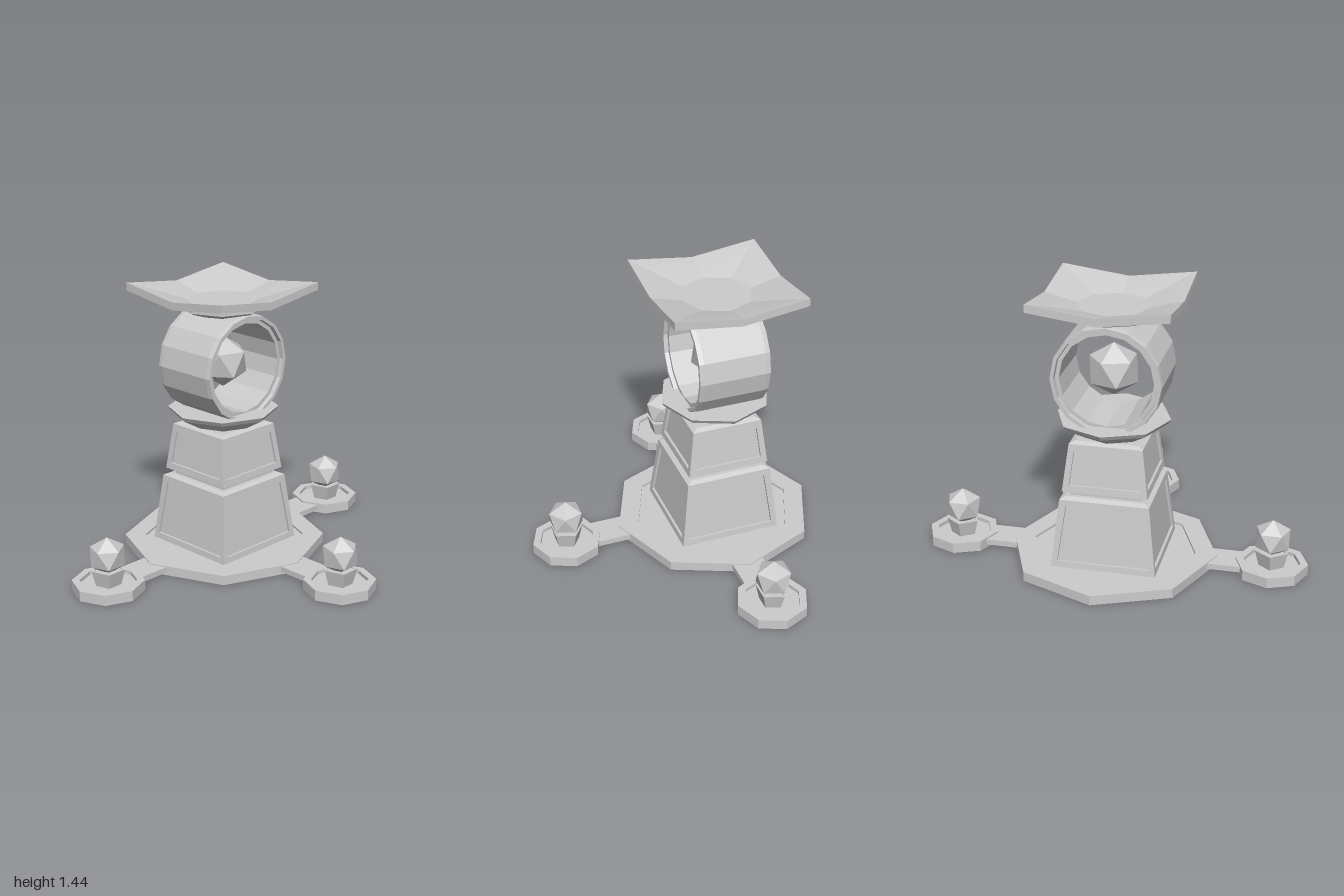
import * as THREE from 'three';

const CZ = -0.24; // depth of the tower axis
const material = new THREE.MeshStandardMaterial({ color: 0xcccccc, flatShading: true });
const V = (x, y, z) => new THREE.Vector3(x, y, z);

// Joins rings of equal point count with faces, optionally closing the first and last ring
function loft(rings, capStart = true, capEnd = true) {
  const pos = [];
  const tri = (...pts) => pts.forEach(p => pos.push(p.x, p.y, p.z));
  const n = rings[0].length;
  for (let i = 0; i < rings.length - 1; i++) {
    for (let j = 0; j < n; j++) {
      const k = (j + 1) % n;
      const a = rings[i][j], b = rings[i][k], c = rings[i + 1][k], d = rings[i + 1][j];
      if (j % 2) { tri(a, b, c); tri(a, c, d); } else { tri(a, b, d); tri(b, c, d); }
    }
  }
  const last = rings[rings.length - 1];
  for (let j = 1; j < n - 1; j++) {
    if (capStart) tri(rings[0][0], rings[0][j + 1], rings[0][j]);
    if (capEnd) tri(last[0], last[j], last[j + 1]);
  }
  const geo = new THREE.BufferGeometry();
  geo.setAttribute('position', new THREE.Float32BufferAttribute(pos, 3));
  geo.computeVertexNormals();
  return geo;
}

// Regular polygon ring with its first point towards +z
function polygon(sides, r, y, turn = 0) {
  return Array.from({ length: sides }, (_, i) => {
    const t = turn + i / sides * Math.PI * 2;
    return V(Math.sin(t) * r, y, Math.cos(t) * r);
  });
}
const turned = (sides, profile, turn, caps = true) =>
  loft(profile.map(([r, y]) => polygon(sides, r, y, turn)), caps, caps);

// Square ring of eight points whose corners may rise above the edge middles
function squareRing(half, yMiddle, yCorner) {
  return polygon(8, 1, 0).map((p, i) => i % 2
    ? V(Math.sign(p.x) * half, yCorner, Math.sign(p.z) * half)
    : V(Math.round(p.x) * half, yMiddle, Math.round(p.z) * half));
}

// Icosahedron standing on a point
function gem(r) {
  return new THREE.IcosahedronGeometry(r, 0).rotateZ(-Math.atan(2 / (1 + Math.sqrt(5))));
}

function add(parent, name, geo, x = 0, y = 0, z = 0) {
  const mesh = new THREE.Mesh(geo, material);
  mesh.name = name;
  mesh.position.set(x, y, z);
  parent.add(mesh);
  return mesh;
}

// Tapered square block with a sunken panel on each side
function panelBlock(parent, name, [y0, h0], [y1, h1], [p0, w0], [p1, w1]) {
  const block = new THREE.Group();
  block.name = name;
  const depthAt = y => h0 + (h1 - h0) * (y - y0) / (y1 - y0);
  const ring = (ya, wa, yb, wb, d) => [
    V(-wa, ya, depthAt(ya) - d), V(wa, ya, depthAt(ya) - d),
    V(wb, yb, depthAt(yb) - d), V(-wb, yb, depthAt(yb) - d)];
  const side = loft([
    ring(y0, h0, y1, h1, 0),
    ring(p0, w0, p1, w1, 0),
    ring(p0, w0, p1, w1, 0.013)], false, true);
  for (let i = 0; i < 4; i++) add(block, 'panelSide', side).rotation.y = i * Math.PI / 2;
  // closing faces with a small chamfer on top
  const q = Math.SQRT2, t = Math.PI / 4;
  add(block, 'blockTop', loft([polygon(4, h1 * q, y1, t), polygon(4, (h1 - 0.025) * q, y1 + 0.012, t)], false, true));
  add(block, 'blockBottom', loft([polygon(4, h0 * q, y0, t), polygon(4, h0 * q, y0, t)], true, false));
  parent.add(block);
}

export function createModel() {
  const model = new THREE.Group();
  model.name = 'shrine';

  const tower = new THREE.Group();
  tower.name = 'tower';
  tower.position.z = CZ;
  model.add(tower);

  // Octagonal base with a shallow sunken floor
  add(tower, 'base', turned(8, [[0.535, 0], [0.535, 0.05], [0.425, 0.05], [0.425, 0.038]]));

  // Stacked pillar blocks with a narrow neck between
  panelBlock(tower, 'lowerBlock', [0.035, 0.268], [0.395, 0.228], [0.07, 0.235], [0.362, 0.195]);
  add(tower, 'neck', new THREE.BoxGeometry(0.365, 0.06, 0.365), 0, 0.42, 0);
  panelBlock(tower, 'upperBlock', [0.435, 0.217], [0.683, 0.186], [0.47, 0.182], [0.643, 0.16]);

  // Flared capital carrying the ring
  add(tower, 'capital', turned(8, [[0.16, 0.69], [0.275, 0.757], [0.29, 0.78]]));

  // Open sixteen-sided ring lying along z, with a stepped rim at both ends
  const half = [[0.235, 0.165], [0.255, 0.165], [0.258, 0.187], [0.276, 0.187], [0.28, 0.162]];
  const profile = [...half.map(([r, y]) => [r, -y]), ...half.slice().reverse(), [0.235, -0.165]];
  add(tower, 'ring', turned(16, profile, 0, false).rotateX(Math.PI / 2), 0, 1.02, 0);
  add(tower, 'floatingGem', gem(0.137), 0, 1.026, 0);

  // Cap between the ring and the dish
  add(tower, 'cap', turned(8, [[0.08, 1.265], [0.2, 1.305], [0.22, 1.315], [0.22, 1.335]]));

  // Square dish with raised corners
  add(tower, 'dish', loft([
    polygon(8, 0.2, 1.33),
    squareRing(0.345, 1.355, 1.4),
    squareRing(0.345, 1.395, 1.44),
    squareRing(0.3, 1.385, 1.424),
    polygon(8, 0.185, 1.355)]));

  // Three outlying lamps joined to the base by arms
  const lamps = [['leftLamp', 0.815, CZ], ['rightLamp', -0.815, CZ], ['frontLamp', 0, 0.585]];
  for (const [name, x, z] of lamps) {
    const lamp = new THREE.Group();
    lamp.name = name;
    lamp.position.set(x, 0, z);
    add(lamp, 'pad', turned(8, [[0.184, 0], [0.184, 0.054], [0.145, 0.054], [0.145, 0.035]]));
    add(lamp, 'pot', turned(5, [[0.066, 0.033], [0.088, 0.118], [0.075, 0.118], [0.07, 0.11]], Math.PI));
    add(lamp, 'lampGem', gem(0.099).rotateY(-Math.PI / 2), 0, 0.186, 0);
    model.add(lamp);

    const arm = x ? new THREE.BoxGeometry(0.2, 0.03, 0.168) : new THREE.BoxGeometry(0.168, 0.03, 0.2);
    add(model, 'arm', arm, Math.sign(x) * 0.575, 0.03, x ? CZ : CZ + 0.585);
  }
  return model;
}
